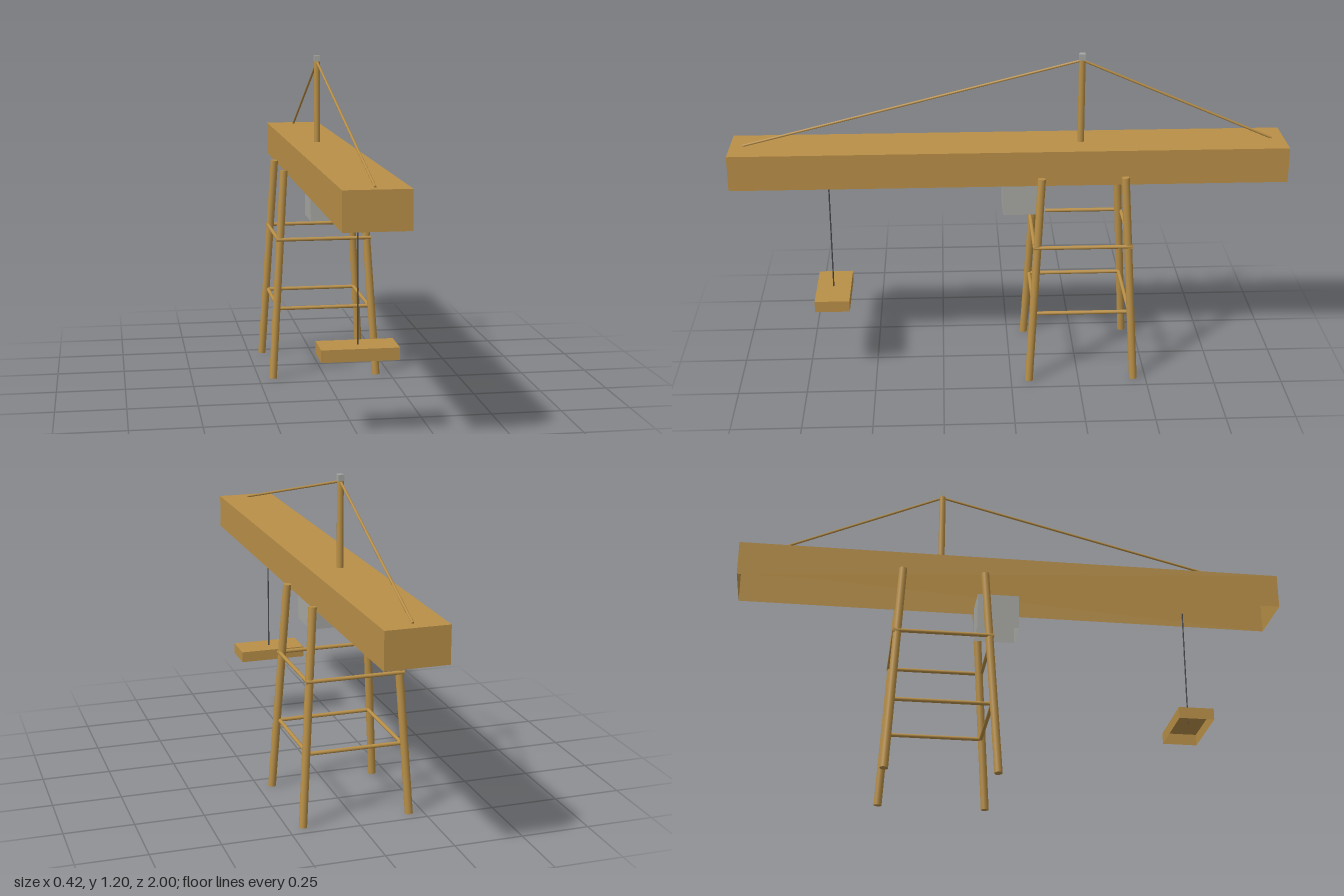
import * as THREE from 'three';

export function createModel() {
  const group = new THREE.Group();
  const mat = (name, color) => {
    const m = new THREE.MeshStandardMaterial({ color, side: THREE.DoubleSide });
    m.name = name;
    return m;
  };
  const wood = mat('wood', 0xb88f47);
  const metal = mat('grey metal', 0xa6a6a2);
  const ropeDark = mat('dark rope', 0x4a4a50);

  // Box shell without a bottom, given by its x, y and z ranges
  const openBox = (name, material, x, y, z) => {
    const geo = new THREE.BoxGeometry(x[1] - x[0], y[1] - y[0], z[1] - z[0]);
    const index = Array.from(geo.index.array);
    index.splice(18, 6); // fourth face is the bottom
    geo.setIndex(index);
    geo.clearGroups();
    const mesh = new THREE.Mesh(geo, material);
    mesh.position.set((x[0] + x[1]) / 2, (y[0] + y[1]) / 2, (z[0] + z[1]) / 2);
    mesh.name = name;
    group.add(mesh);
  };

  // Round bar between two points
  const bar = (name, material, from, to, radius, sides = 12) => {
    const a = new THREE.Vector3(...from);
    const b = new THREE.Vector3(...to);
    const dir = b.clone().sub(a);
    const mesh = new THREE.Mesh(new THREE.CylinderGeometry(radius, radius, dir.length(), sides), material);
    mesh.position.copy(a).add(b).multiplyScalar(0.5);
    mesh.quaternion.setFromUnitVectors(new THREE.Vector3(0, 1, 0), dir.normalize());
    mesh.name = name;
    group.add(mesh);
  };

  // Jib beam, counterweight and hanging load
  openBox('beam', wood, [-0.109, 0.109], [0.743, 0.872], [-1, 1]);
  openBox('counterweight', metal, [-0.065, 0.065], [0.613, 0.743], [-0.128, 0.024]);
  openBox('load', wood, [-0.13, 0.13], [0.266, 0.308], [0.59, 0.717]);
  bar('hoistRope', ropeDark, [0, 0.3, 0.655], [0, 0.744, 0.655], 0.0025, 8);

  // Mast with cap and stay cables
  const mastZ = -0.26;
  bar('mast', wood, [0, 0.87, mastZ], [0, 1.178, mastZ], 0.012);
  openBox('mastCap', metal, [-0.011, 0.011], [1.177, 1.2], [mastZ - 0.011, mastZ + 0.011]);
  for (const end of [-0.955, 0.955]) {
    bar('stayCable', wood, [0, 1.176, mastZ], [0, 0.873, end], 0.0045, 8);
  }

  // Four splayed legs
  for (const sx of [-1, 1]) {
    for (const sz of [-1, 1]) {
      bar('leg', wood,
        [sx * 0.197, 0.002, mastZ + sz * 0.194],
        [sx * 0.147, 0.785, mastZ + sz * 0.149], 0.0145, 16);
    }
  }

  // Two levels of cross rails
  for (const y of [0.265, 0.527]) {
    for (const s of [-1, 1]) {
      bar('crossRail', wood, [-0.178, y, mastZ + s * 0.174], [0.178, y, mastZ + s * 0.174], 0.007);
      bar('sideRail', wood, [s * 0.172, y, mastZ - 0.176], [s * 0.172, y, mastZ + 0.176], 0.007);
    }
  }
  return group;
}
